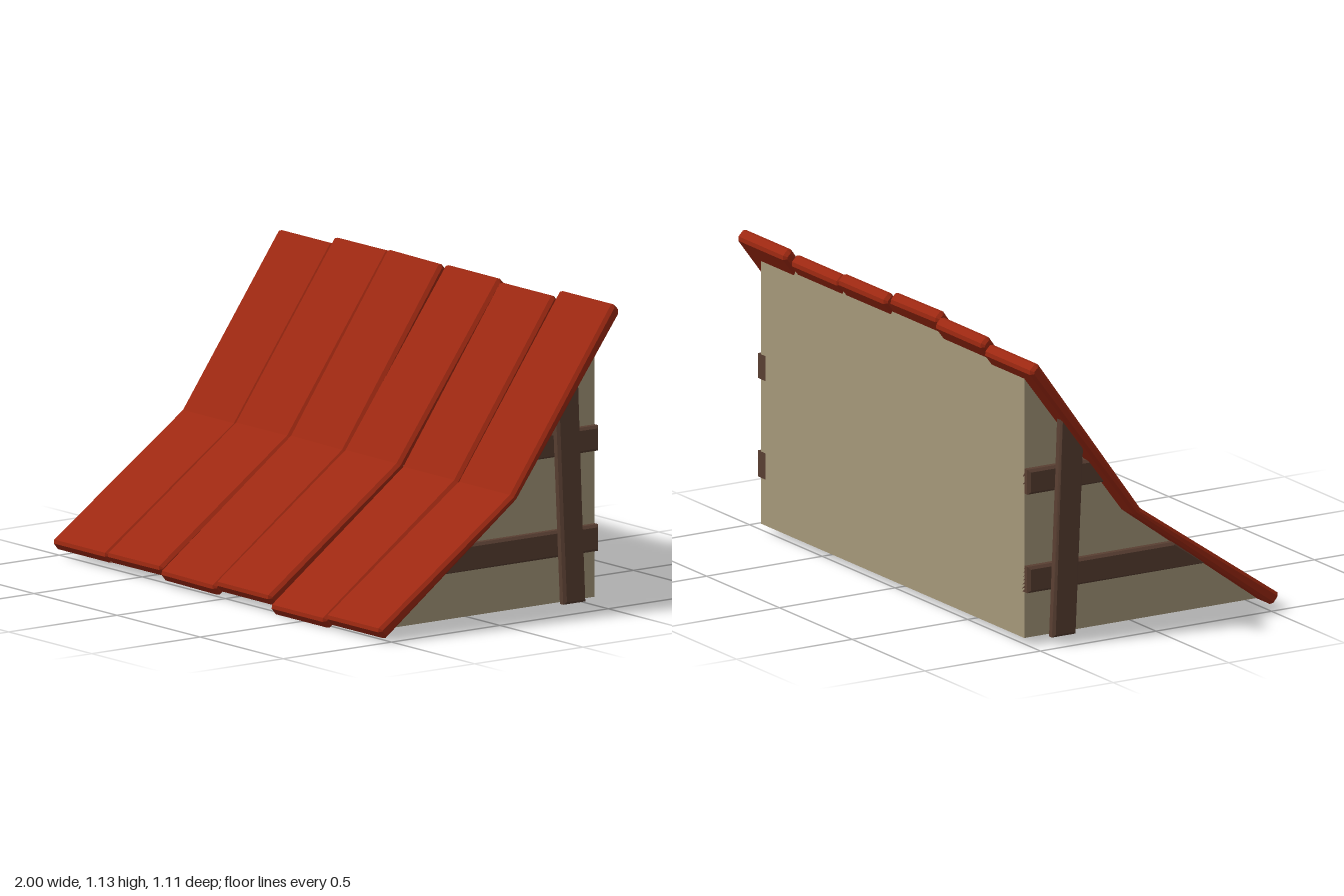
import * as THREE from 'three';

const material = (name, color) => {
  const m = new THREE.MeshStandardMaterial({ color });
  m.name = name;
  return m;
};

// Extrude a side profile of [z, y] points across x, centred on x = 0.
function extrudeAcross(points, width, bevel) {
  const shape = new THREE.Shape(points.map(([z, y]) => new THREE.Vector2(z, y)));
  const geo = new THREE.ExtrudeGeometry(shape, {
    depth: width - 2 * bevel,
    bevelEnabled: bevel > 0,
    bevelSize: bevel,
    bevelThickness: bevel,
    bevelOffset: -bevel,
    bevelSegments: 1,
  });
  geo.translate(0, 0, bevel - width / 2);
  geo.rotateY(-Math.PI / 2);
  return geo;
}

// Bent board profile with chamfered ends.
function plankProfile(yBottom, yTop, zBack, zFront, lift) {
  const corners = [
    [zFront - 0.033, yBottom], [zFront, yBottom + 0.04],
    [-0.06 + lift * 0.7, 0.488 + lift * 0.7],
    [zBack + 0.035, yTop], [zBack, yTop - 0.036],
    [-0.088 + lift * 0.7, 0.468 + lift * 0.7],
  ];
  const out = [];
  corners.forEach((c, i) => {
    if (i === 2 || i === 5) return out.push(c);
    for (const n of [corners[(i + 5) % 6], corners[(i + 1) % 6]]) {
      const d = Math.hypot(n[0] - c[0], n[1] - c[1]);
      out.push([0, 1].map((k) => c[k] + ((n[k] - c[k]) / d) * 0.011));
    }
  });
  return out;
}

export function createModel() {
  const group = new THREE.Group();
  const red = material('redRoof', 0x9c2811);
  const plaster = material('beigePlaster', 0xa6987a);
  const wood = material('brownWood', 0x593f32);

  const add = (name, geo, mat, x = 0) => {
    const mesh = new THREE.Mesh(geo, mat);
    mesh.name = name;
    mesh.position.x = x;
    group.add(mesh);
    return mesh;
  };

  // Solid body under the roof
  add('body', extrudeAcross(
    [[-0.51, 0.04], [0.51, 0.04], [-0.075, 0.475], [-0.51, 1.065]], 1.81, 0), plaster);

  // Roof boards: centre x, bottom y, top y, back z, front z, lift at the bend, tilt
  const planks = [
    [-0.834, 0.03, 1.11, -0.545, 0.542, -0.002, 0],
    [-0.503, 0.035, 1.135, -0.55, 0.547, 0.01, 0.003],
    [-0.167, 0.02, 1.145, -0.53, 0.552, 0.015, -0.011],
    [0.163, 0.035, 1.14, -0.55, 0.552, 0.018, -0.003],
    [0.498, 0.005, 1.13, -0.543, 0.558, 0.005, 0],
    [0.831, 0.02, 1.15, -0.565, 0.557, 0.002, 0],
  ];
  planks.forEach(([x, yb, yt, zb, zf, lift, tilt], i) => {
    const geo = extrudeAcross(plankProfile(yb, yt, zb, zf, lift), 0.33, 0.012);
    geo.translate(0, -0.55, 0).rotateZ(tilt).translate(0, 0.55, 0);
    add(`roofPlank${i + 1}`, geo, red, x);
  });

  // Timber framing on both side walls
  const timbers = {
    lowerBeam: [[-0.51, 0.215], [0.26, 0.215], [0.125, 0.315], [-0.51, 0.315]],
    upperBeam: [[-0.51, 0.59], [-0.17, 0.59], [-0.24, 0.685], [-0.51, 0.685]],
    post: [[-0.425, 0.042], [-0.323, 0.042], [-0.29, 0.76], [-0.388, 0.885]],
  };
  for (const side of [-1, 1]) {
    for (const [name, points] of Object.entries(timbers)) {
      const isPost = name === 'post';
      const geo = extrudeAcross(points, isPost ? 0.04 : 0.07, 0.01);
      add((side > 0 ? 'left_' : 'right_') + name, geo, wood, side * (isPost ? 0.95 : 0.9));
    }
  }
  return group;
}
